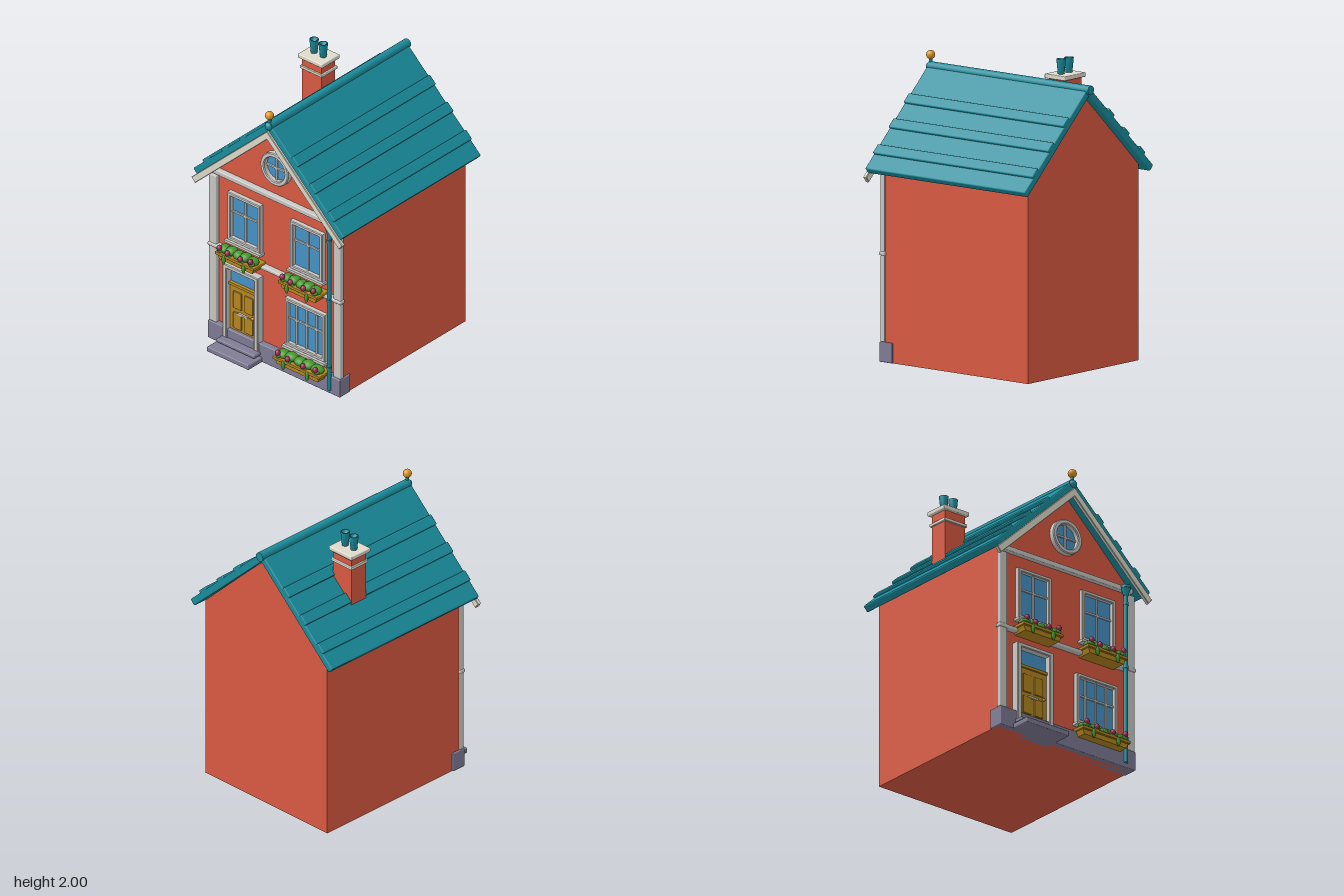
import * as THREE from 'three';
import { RoundedBoxGeometry } from 'three/addons/geometries/RoundedBoxGeometry.js';

const mat = (color, side = THREE.FrontSide) => new THREE.MeshStandardMaterial({ color, side });
const M = {
  wall: mat(0xd95a42), roof: mat(0x1a8c9c), stone: mat(0x7f7c94), trim: mat(0xc9c8c4), cream: mat(0xdedacb),
  gold: mat(0xb5861f), glass: mat(0x4692c6), leaf: mat(0x46982c), flower: mat(0xa42a58), ball: mat(0xdf961e),
};

function add(parent, name, geo, material, x = 0, y = 0, z = 0) {
  const m = new THREE.Mesh(geo, material);
  m.name = name;
  m.position.set(x, y, z);
  parent.add(m);
  return m;
}

// Box given by its limits; r > 0 rounds the edges
function box(parent, name, material, x0, x1, y0, y1, z0, z1, r = 0) {
  const s = [x1 - x0, y1 - y0, z1 - z0];
  const geo = r ? new RoundedBoxGeometry(...s, 2, r) : new THREE.BoxGeometry(...s);
  return add(parent, name, geo, material, (x0 + x1) / 2, (y0 + y1) / 2, (z0 + z1) / 2);
}

const polygon = pts => new THREE.Shape(pts.map(p => new THREE.Vector2(...p)));
const rect = (x0, x1, y0, y1) => polygon([[x0, y0], [x1, y0], [x1, y1], [x0, y1]]);
const extrude = (shape, depth, bevel = 0) => new THREE.ExtrudeGeometry(shape, {
  depth, bevelEnabled: bevel > 0, bevelSize: bevel, bevelThickness: bevel, bevelOffset: -bevel, bevelSegments: 1, curveSegments: 32,
});

function frame(parent, name, x0, x1, y0, y1, w, z, depth, bottom = w) {
  const s = rect(x0, x1, y0, y1);
  s.holes.push(rect(x0 + w, x1 - w, y0 + bottom, y1 - w));
  return add(parent, name, extrude(s, depth, 0.005), M.trim, 0, 0, z);
}

const WALL = 0.555; // front wall plane

function makeWindow(x0, x1, y0, y1, bars, barY) {
  const g = new THREE.Group();
  g.name = 'window';
  frame(g, 'windowFrame', x0, x1, y0, y1, 0.026, WALL - 0.005, 0.035);
  box(g, 'windowGlass', M.glass, x0 + 0.02, x1 - 0.02, y0 + 0.02, y1 - 0.02, WALL - 0.01, WALL + 0.006);
  for (let i = 1; i <= bars; i++) {
    const x = x0 + (x1 - x0) * i / (bars + 1);
    box(g, 'windowBar', M.trim, x - 0.006, x + 0.006, y0 + 0.02, y1 - 0.02, WALL, WALL + 0.016);
  }
  box(g, 'windowCrossBar', M.trim, x0 + 0.02, x1 - 0.02, barY - 0.006, barY + 0.006, WALL, WALL + 0.016);
  box(g, 'windowSill', M.trim, x0 - 0.012, x1 + 0.012, y0 - 0.018, y0, WALL - 0.01, WALL + 0.05);
  return g;
}

// Planter with its foliage; x is the centre, y the underside, w the length
function makeFlowerBox(x, y, w) {
  const g = new THREE.Group();
  g.name = 'flowerBox';
  g.position.set(x, y, 0);
  const h = w / 2;
  add(g, 'planter', extrude(polygon([[-h + 0.025, 0], [h - 0.025, 0], [h - 0.01, 0.04], [-h + 0.01, 0.04]]), 0.11), M.gold, 0, 0, WALL);
  box(g, 'planterLip', M.gold, -h, h, 0.034, 0.056, WALL, 0.68, 0.005);
  const bud = (name, material, px, py, pz, sx, sy, sz) =>
    add(g, name, new THREE.SphereGeometry(1, 10, 8), material, px, py, pz).scale.set(sx, sy, sz);
  for (let i = 0; i < 5; i++)
    bud('foliage', M.leaf, (i - 2) * h * 0.36, 0.072 + (i % 2) * 0.008, 0.63, h * 0.25, 0.03, 0.042);
  for (const [u, v] of [[-0.8, 0.093], [-0.38, 0.078], [0.28, 0.078], [0.8, 0.093]]) {
    bud('flower', M.flower, h * u, v, 0.672, 0.019, 0.021, 0.019);
    bud('flowerLeaf', M.leaf, h * u, v - 0.022, 0.66, 0.024, 0.016, 0.022);
  }
  for (const u of [-0.54, 0.48]) bud('hangingLeaf', M.leaf, h * u, 0.02, 0.68, 0.015, 0.034, 0.011);
  return g;
}

function makeDoorway() {
  const g = new THREE.Group();
  g.name = 'doorway';
  const s = polygon([[-0.44, 0.07], [-0.405, 0.07], [-0.405, 0.605], [-0.165, 0.605], [-0.165, 0.07], [-0.13, 0.07], [-0.13, 0.635], [-0.44, 0.635]]);
  add(g, 'doorFrame', extrude(s, 0.055, 0.005), M.trim, 0, 0, WALL - 0.005);
  box(g, 'door', M.gold, -0.405, -0.165, 0.07, 0.485, WALL - 0.01, WALL + 0.018);
  for (const x of [-0.335, -0.235]) for (const [a, b] of [[0.15, 0.275], [0.305, 0.435]])
    box(g, 'doorPanel', M.gold, x - 0.036, x + 0.036, a, b, WALL, WALL + 0.027, 0.005);
  box(g, 'transomBar', M.gold, -0.405, -0.165, 0.475, 0.495, WALL, WALL + 0.03);
  box(g, 'transomGlass', M.glass, -0.405, -0.165, 0.49, 0.61, WALL - 0.01, WALL + 0.006);
  box(g, 'letterSlot', M.trim, -0.325, -0.245, 0.268, 0.282, WALL, WALL + 0.032);
  add(g, 'doorKnob', new THREE.SphereGeometry(0.011, 12, 8), M.ball, -0.197, 0.288, WALL + 0.03);
  // Entrance steps
  box(g, 'upperStep', M.stone, -0.43, -0.14, 0.03, 0.055, 0.5, 0.64);
  box(g, 'upperTread', M.stone, -0.45, -0.118, 0.045, 0.07, 0.5, 0.66, 0.006);
  box(g, 'lowerStep', M.stone, -0.465, -0.102, 0, 0.036, 0.5, 0.735, 0.006);
  return g;
}

function makeRoof() {
  const g = new THREE.Group();
  g.name = 'roof';
  for (const side of [1, -1]) {
    const mirror = new THREE.Group();
    mirror.name = side > 0 ? 'leftSlope' : 'rightSlope';
    mirror.scale.x = side;
    const slope = new THREE.Group();
    slope.position.y = 1.88;
    slope.rotation.z = -0.753;
    mirror.add(slope);
    g.add(mirror);
    box(slope, 'roofSlab', M.roof, 0, 0.88, -0.025, 0.025, -0.72, 0.652, 0.009);
    for (const x of [0.72, 0.5, 0.288]) box(slope, 'roofCourse', M.roof, x - 0.038, x + 0.038, 0, 0.042, -0.72, 0.652, 0.008);
  }
  const ridge = add(g, 'ridge', new THREE.CylinderGeometry(0.032, 0.032, 1.385, 16), M.roof, 0, 1.89, -0.0425);
  ridge.rotation.x = Math.PI / 2;
  // Bargeboards in one mitred chevron
  const boards = polygon([[0, 1.857], [-0.66, 1.238], [-0.63, 1.2], [0, 1.793], [0.63, 1.2], [0.66, 1.238]]);
  add(g, 'bargeboards', extrude(boards, 0.02, 0.004), M.cream, 0, 0, 0.644);
  // Finial
  add(g, 'finialBase', new THREE.SphereGeometry(0.03, 16, 12), M.roof, 0, 1.888, 0.643);
  add(g, 'finialStem', new THREE.CylinderGeometry(0.01, 0.014, 0.06, 12), M.roof, 0, 1.93, 0.64);
  add(g, 'finialBall', new THREE.SphereGeometry(0.03, 20, 14), M.ball, 0, 1.967, 0.64);
  return g;
}

function makeChimney() {
  const g = new THREE.Group();
  g.name = 'chimney';
  box(g, 'chimneyStack', M.wall, -0.42, -0.25, 1.42, 1.875, -0.3, -0.165);
  box(g, 'chimneyBand', M.cream, -0.432, -0.238, 1.79, 1.812, -0.312, -0.153, 0.005);
  box(g, 'chimneyCap', M.cream, -0.443, -0.228, 1.87, 1.9, -0.321, -0.144, 0.006);
  const pot = [[0, 0], [0.022, 0], [0.032, 0.105], [0.023, 0.105], [0.018, 0.08], [0, 0.08]].map(p => new THREE.Vector2(...p));
  for (const x of [-0.375, -0.295]) add(g, 'chimneyPot', new THREE.LatheGeometry(pot, 12), M.roof, x, 1.895, -0.232);
  return g;
}

export function createModel() {
  const house = new THREE.Group();
  house.name = 'house';

  // Walls and gable
  box(house, 'walls', M.wall, -0.565, 0.565, 0, 1.25, -0.67, WALL);
  const gable = polygon([[-0.565, 1.25], [0.565, 1.25], [0.565, 1.31], [0, 1.85], [-0.565, 1.31]]);
  add(house, 'gable', extrude(gable, WALL + 0.67), M.wall, 0, 0, -0.67);

  // Plinth, corner strips and horizontal mouldings
  box(house, 'plinth', M.stone, -0.577, 0.577, 0, 0.135, 0.49, 0.598, 0.006);
  for (const s of [-1, 1]) {
    const c = s * 0.543;
    box(house, 'cornerStrip', M.trim, c - 0.032, c + 0.032, 0.135, 0.715, 0.555, 0.59, 0.006);
    box(house, 'cornerStrip', M.trim, c - 0.032, c + 0.032, 0.735, 1.265, 0.555, 0.59, 0.006);
  }
  box(house, 'stringCourse', M.trim, -0.582, 0.582, 0.713, 0.74, 0.55, 0.598, 0.008);
  box(house, 'cornice', M.trim, -0.56, 0.56, 1.28, 1.315, 0.54, 0.592, 0.006);

  // Round gable window
  const ring = new THREE.Group();
  ring.name = 'roundWindow';
  ring.position.set(0, 1.527, WALL);
  const rim = new THREE.Shape().absarc(0, 0, 0.122, 0, Math.PI * 2);
  rim.holes.push(new THREE.Path().absarc(0, 0, 0.089, 0, Math.PI * 2, true));
  add(ring, 'roundFrame', extrude(rim, 0.035, 0.006), M.trim);
  add(ring, 'roundGlass', new THREE.CircleGeometry(0.1, 32), M.glass, 0, 0, 0.006);
  box(ring, 'roundBar', M.trim, -0.006, 0.006, -0.095, 0.095, 0, 0.018);
  box(ring, 'roundCrossBar', M.trim, -0.095, 0.095, -0.006, 0.006, 0, 0.018);
  house.add(ring);

  // Windows, planters and door
  house.add(
    makeWindow(-0.415, -0.13, 0.82, 1.187, 1, 1.04),
    makeWindow(0.13, 0.415, 0.82, 1.187, 1, 1.04),
    makeWindow(0.085, 0.435, 0.21, 0.572, 3, 0.42),
    makeFlowerBox(-0.275, 0.7, 0.34),
    makeFlowerBox(0.275, 0.7, 0.34),
    makeFlowerBox(0.263, 0.097, 0.41),
    makeDoorway(),
  );

  // Downpipe with hopper and brackets
  const pipe = new THREE.Group();
  pipe.name = 'downpipe';
  pipe.position.set(0.488, 0, 0.602);
  add(pipe, 'pipe', new THREE.CylinderGeometry(0.015, 0.015, 1.23, 12), M.roof, 0, 0.645, 0);
  add(pipe, 'hopper', new THREE.CylinderGeometry(0.033, 0.016, 0.055, 12), M.roof, 0, 1.265, 0);
  add(pipe, 'hopperRim', new THREE.CylinderGeometry(0.035, 0.035, 0.02, 12), M.roof, 0, 1.3, 0);
  for (const y of [0.2, 0.72, 1.18]) add(pipe, 'pipeBracket', new THREE.CylinderGeometry(0.019, 0.019, 0.02, 12), M.roof, 0, y, 0);
  house.add(pipe);

  house.add(makeRoof(), makeChimney());
  return house;
}
